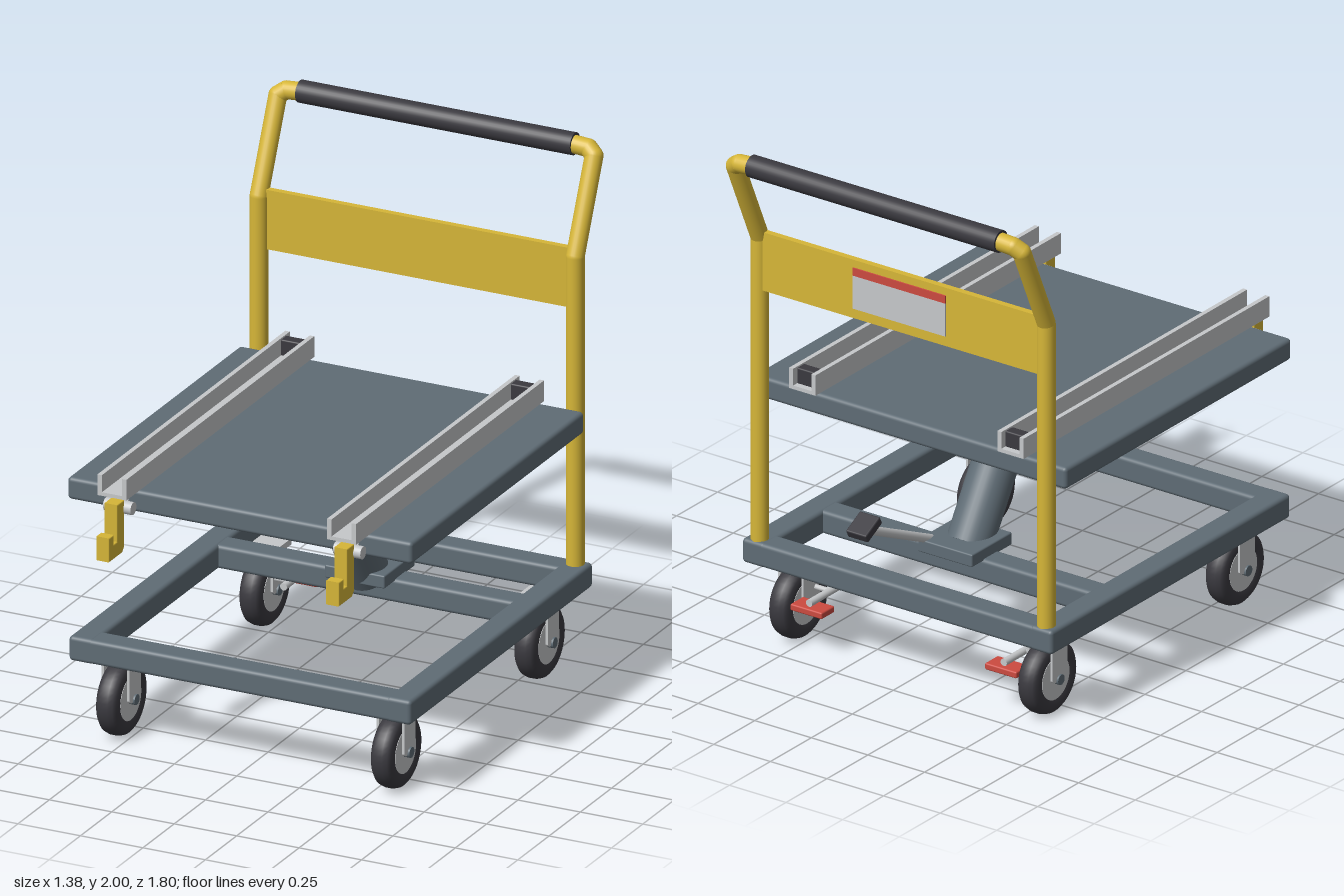
import * as THREE from 'three';
import { RoundedBoxGeometry } from 'three/addons/geometries/RoundedBoxGeometry.js';

const mat = (name, color) => Object.assign(new THREE.MeshStandardMaterial({ color }), { name });

export function createModel() {
  const root = new THREE.Group();
  const steel = mat('blueGreySteel', 0x5f6c75);
  const yellow = mat('yellowPaint', 0xd6b638);
  const dark = mat('darkRubber', 0x3a393f);
  const metal = mat('bareMetal', 0xc6c8ca);
  const red = mat('redPaint', 0xcc4a40);

  const add = (parent, name, geo, material, x = 0, y = 0, z = 0) => {
    const m = new THREE.Mesh(geo, material);
    m.name = name;
    m.position.set(x, y, z);
    parent.add(m);
    return m;
  };
  // Box given by its min and max corners, optionally with rounded edges
  const box = (parent, name, material, [x0, y0, z0], [x1, y1, z1], r = 0) => {
    const w = x1 - x0, h = y1 - y0, d = z1 - z0;
    const geo = r ? new RoundedBoxGeometry(w, h, d, 3, r) : new THREE.BoxGeometry(w, h, d);
    return add(parent, name, geo, material, (x0 + x1) / 2, (y0 + y1) / 2, (z0 + z1) / 2);
  };
  // Cylinder between two points
  const rod = (parent, name, material, a, b, r, seg = 24) => {
    const p = new THREE.Vector3(...a), q = new THREE.Vector3(...b);
    const dir = q.clone().sub(p);
    const m = add(parent, name, new THREE.CylinderGeometry(r, r, dir.length(), seg), material);
    m.position.copy(p).add(q).multiplyScalar(0.5);
    m.quaternion.setFromUnitVectors(new THREE.Vector3(0, 1, 0), dir.normalize());
    return m;
  };
  const group = (name, parent = root) => {
    const g = new THREE.Group();
    g.name = name;
    parent.add(g);
    return g;
  };

  // Base frame: four beams and a cross beam that carries the jack
  const base = group('baseFrame');
  for (const s of [-1, 1]) {
    box(base, 'sideBeam', steel, [s * 0.635 - 0.05, 0.315, -0.73], [s * 0.635 + 0.05, 0.41, 0.73], 0.015);
    box(base, 'endBeam', steel, [-0.66, 0.316, s * 0.68 - 0.05], [0.66, 0.409, s * 0.68 + 0.05], 0.015);
  }
  box(base, 'crossBeam', steel, [-0.62, 0.317, -0.37], [0.62, 0.408, -0.27], 0.015);

  // Lifting platform
  box(root, 'platform', steel, [-0.69, 0.94, -0.65], [0.69, 1.025, 0.73], 0.015);

  // Channel rails with end stops, pins and hooks
  const channel = new THREE.Shape([
    [-0.058, 0], [0.058, 0], [0.058, 0.08], [0.04, 0.08], [0.04, 0.014],
    [-0.04, 0.014], [-0.04, 0.08], [-0.058, 0.08],
  ].map(([x, y]) => new THREE.Vector2(x, y)));
  const channelGeo = new THREE.ExtrudeGeometry(channel, { depth: 1.5, bevelEnabled: false });
  // Hook outline: x runs forward, extruded sideways
  const hookShape = new THREE.Shape([
    [0.785, 1.0], [0.785, 0.825], [0.8, 0.81], [0.9, 0.81], [0.9, 0.895],
    [0.87, 0.895], [0.87, 0.858], [0.835, 0.858], [0.835, 1.0],
  ].map(([x, y]) => new THREE.Vector2(x, y)));
  const hookGeo = new THREE.ExtrudeGeometry(hookShape, { depth: 0.045, bevelSize: 0.004, bevelThickness: 0.004, bevelSegments: 2 });
  hookGeo.translate(0, 0, -0.0225).rotateY(-Math.PI / 2);
  for (const s of [-1, 1]) {
    const rail = group('rail');
    rail.position.x = s * 0.46;
    add(rail, 'railChannel', channelGeo, metal, 0, 1.025, -0.67);
    box(rail, 'railStop', dark, [-0.043, 1.036, -0.645], [0.043, 1.1, -0.6], 0.006);
    rod(rail, 'hookPin', metal, [-0.055, 0.97, 0.768], [0.055, 0.97, 0.768], 0.024);
    box(rail, 'pinBracket', metal, [-0.02, 0.955, 0.72], [0.02, 0.985, 0.768]);
    add(rail, 'hook', hookGeo, yellow);
  }

  // Push handle: bent tubes, grip and back panel
  const handle = group('handle');
  for (const s of [-1, 1]) {
    const pts = [[0.633, 0.4, -0.69], [0.633, 1.6, -0.69], [0.633, 1.935, -0.84],
      [0.605, 1.955, -0.852], [0.53, 1.96, -0.853]].map(([x, y, z]) => [s * x, y, z]);
    for (let i = 0; i < pts.length - 1; i++) {
      rod(handle, 'handleTube', yellow, pts[i], pts[i + 1], 0.034);
      if (i) add(handle, 'handleBend', new THREE.SphereGeometry(0.034, 24, 16), yellow, ...pts[i]);
    }
  }
  rod(handle, 'grip', dark, [-0.55, 1.96, -0.853], [0.55, 1.96, -0.853], 0.042, 32);
  box(handle, 'backPanel', yellow, [-0.61, 1.4, -0.71], [0.61, 1.63, -0.685]);
  box(handle, 'label', metal, [-0.205, 1.44, -0.716], [0.205, 1.57, -0.71]);
  box(handle, 'labelStripe', red, [-0.205, 1.57, -0.716], [0.205, 1.6, -0.71]);

  // Tilted hydraulic jack with foot pedal
  const jack = group('jack');
  box(jack, 'jackFoot', steel, [-0.12, 0.4, -0.435], [0.12, 0.45, -0.19], 0.006);
  rod(jack, 'jackBody', steel, [0, 0.41, -0.285], [0, 0.777, -0.06], 0.086, 32);
  rod(jack, 'jackPiston', metal, [0, 0.7, -0.065], [0, 0.925, 0.074], 0.045);
  rod(jack, 'pedalLever', metal, [0.1, 0.43, -0.37], [0.1, 0.63, -0.8], 0.017, 16);
  const pedal = add(jack, 'footPedal', new RoundedBoxGeometry(0.09, 0.035, 0.1, 3, 0.006), dark, 0.1, 0.635, -0.79);
  pedal.rotation.x = -0.48;

  // Casters: lathed tyre and hub, fork and mounting plate
  const turn = (pts) => new THREE.LatheGeometry(pts.map(([r, y]) => new THREE.Vector2(r, y)), 40).rotateZ(Math.PI / 2);
  const tyreGeo = turn([[0.08, -0.036], [0.1, -0.042], [0.122, -0.04], [0.134, -0.03], [0.14, -0.012],
    [0.14, 0.012], [0.134, 0.03], [0.122, 0.04], [0.1, 0.042], [0.08, 0.036]]);
  const hubGeo = new THREE.CylinderGeometry(0.083, 0.083, 0.077, 32).rotateZ(Math.PI / 2);
  // Fork leg outline: straight plate with a rounded lower end
  const leg = new THREE.Shape();
  leg.moveTo(0.045, 0.15).lineTo(0.045, 0.29).lineTo(-0.045, 0.29).lineTo(-0.045, 0.15);
  leg.quadraticCurveTo(-0.04, 0.14, -0.03, 0.138).lineTo(0.03, 0.138).quadraticCurveTo(0.04, 0.14, 0.045, 0.15);
  const legGeo = new THREE.ExtrudeGeometry(leg, { depth: 0.01, bevelEnabled: false });
  legGeo.translate(0, 0, -0.005).rotateY(Math.PI / 2);
  for (const sx of [-1, 1]) for (const z of [0.575, -0.57]) {
    const caster = group('caster');
    caster.position.set(sx * 0.55, 0, z);
    add(caster, 'tyre', tyreGeo, dark, 0, 0.143, 0);
    add(caster, 'hub', hubGeo, metal, 0, 0.143, 0);
    rod(caster, 'axle', steel, [-0.063, 0.143, 0], [0.063, 0.143, 0], 0.02);
    for (const s of [-1, 1]) add(caster, 'forkLeg', legGeo, metal, s * 0.051, 0, 0);
    box(caster, 'forkTop', metal, [-0.055, 0.284, -0.045], [0.055, 0.296, 0.045]);
    box(caster, 'mountPlate', metal, [-0.07, 0.294, -0.072], [0.07, 0.318, 0.072]);

    // Foot brake on the rear pair, facing inward
    if (z < 0) {
      const x = -sx * 0.12;
      box(caster, 'brakePedal', red, [x - 0.07, 0.16, -0.12], [x + 0.07, 0.186, -0.04], 0.006);
      rod(caster, 'brakeRod', metal, [x, 0.199, -0.1], [x, 0.199, 0.09], 0.014, 16);
      rod(caster, 'brakeLink', metal, [-sx * 0.05, 0.199, 0.03], [x, 0.199, 0.03], 0.01, 12);
    }
  }
  return root;
}
